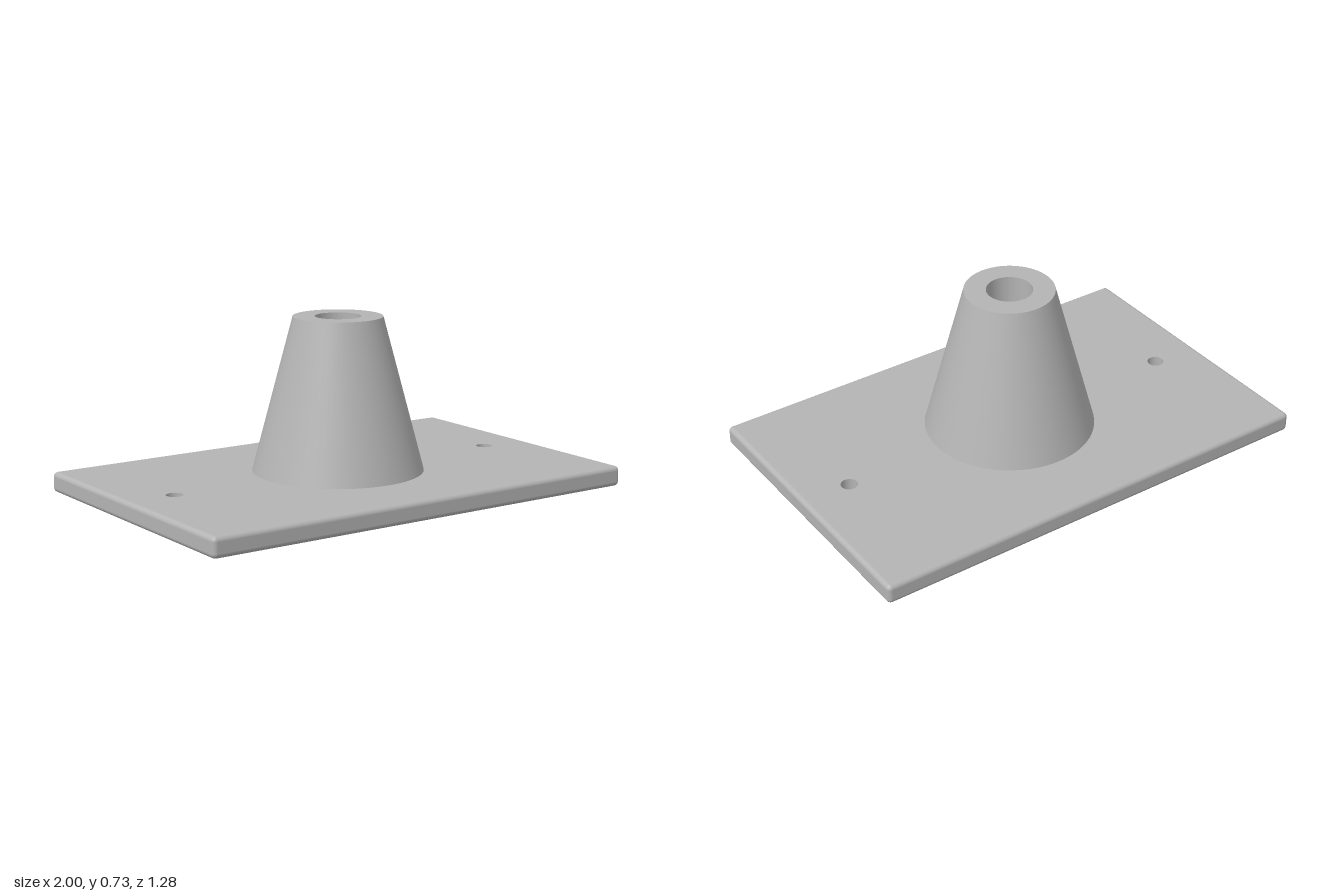
import * as THREE from 'three';

const W = 1, D = 0.64, T = 0.085, R = 0.02; // plate half width, half depth, thickness, edge radius
const TOP = 0.73, BORE = 0.096;
const HOLE = 0.035, HOLE_X = 0.787;

const metal = new THREE.MeshStandardMaterial({ color: 0xb4b4b4 });
metal.name = 'grey metal';

function add(group, name, geometry) {
  const mesh = new THREE.Mesh(geometry, metal);
  mesh.name = name;
  group.add(mesh);
  return mesh;
}

// Surface of revolution between two (radius, height) points, with crisp ends
function band(r0, y0, r1, y1, sides = 64) {
  return new THREE.LatheGeometry([new THREE.Vector2(r0, y0), new THREE.Vector2(r1, y1)], sides);
}

// Flat plate face with the two bolt holes cut through
function plateFace() {
  const w = W - R, d = D - R;
  const shape = new THREE.Shape([[-w, -d], [w, -d], [w, d], [-w, d]].map(p => new THREE.Vector2(...p)));
  for (const s of [-1, 1]) {
    shape.holes.push(new THREE.Path().absarc(s * HOLE_X, 0, HOLE, 0, Math.PI * 2, true));
  }
  return new THREE.ShapeGeometry(shape, 16);
}

// Rounded rim of the plate: rings of the outline swept over a rounded profile
function plateEdge() {
  const n = 6, pos = [], nor = [], idx = [];
  const corners = [[1, 1], [-1, 1], [-1, -1], [1, -1]];
  const cols = 4 * (n + 1), rows = 2 * (n + 1);
  for (let j = 0; j < rows; j++) {
    const upper = j > n;
    const phi = ((upper ? j - n - 1 : j - n) / n) * Math.PI / 2;
    const y = (upper ? T - R : R) + R * Math.sin(phi);
    corners.forEach(([sx, sz], k) => {
      for (let i = 0; i <= n; i++) {
        const a = (k + i / n) * Math.PI / 2;
        const nx = Math.cos(a) * Math.cos(phi), nz = Math.sin(a) * Math.cos(phi);
        pos.push(sx * (W - R) + R * nx, y, sz * (D - R) + R * nz);
        nor.push(nx, Math.sin(phi), nz);
      }
    });
  }
  for (let j = 0; j < rows - 1; j++) {
    for (let i = 0; i < cols; i++) {
      const a = j * cols + i, b = j * cols + (i + 1) % cols;
      idx.push(a, a + cols, b, b, a + cols, b + cols);
    }
  }
  const g = new THREE.BufferGeometry();
  g.setAttribute('position', new THREE.Float32BufferAttribute(pos, 3));
  g.setAttribute('normal', new THREE.Float32BufferAttribute(nor, 3));
  g.setIndex(idx);
  return g;
}

export function createModel() {
  const model = new THREE.Group();
  model.name = 'mountingBase';

  // Base plate
  const plate = new THREE.Group();
  plate.name = 'basePlate';
  add(plate, 'plateTop', plateFace().rotateX(-Math.PI / 2).translate(0, T, 0));
  add(plate, 'plateBottom', plateFace().rotateX(Math.PI / 2));
  add(plate, 'plateEdge', plateEdge());
  for (const s of [-1, 1]) {
    add(plate, s > 0 ? 'leftBoltHole' : 'rightBoltHole', band(HOLE, T, HOLE, 0, 32)).position.x = s * HOLE_X;
  }

  // Tapered socket with a round bore down to the plate
  const socket = new THREE.Group();
  socket.name = 'socket';
  add(socket, 'socketWall', band(0.358, T, 0.187, TOP));
  add(socket, 'socketRim', band(0.187, TOP, BORE, TOP));
  add(socket, 'socketBore', band(BORE, TOP, BORE, T));

  model.add(plate, socket);
  return model;
}
